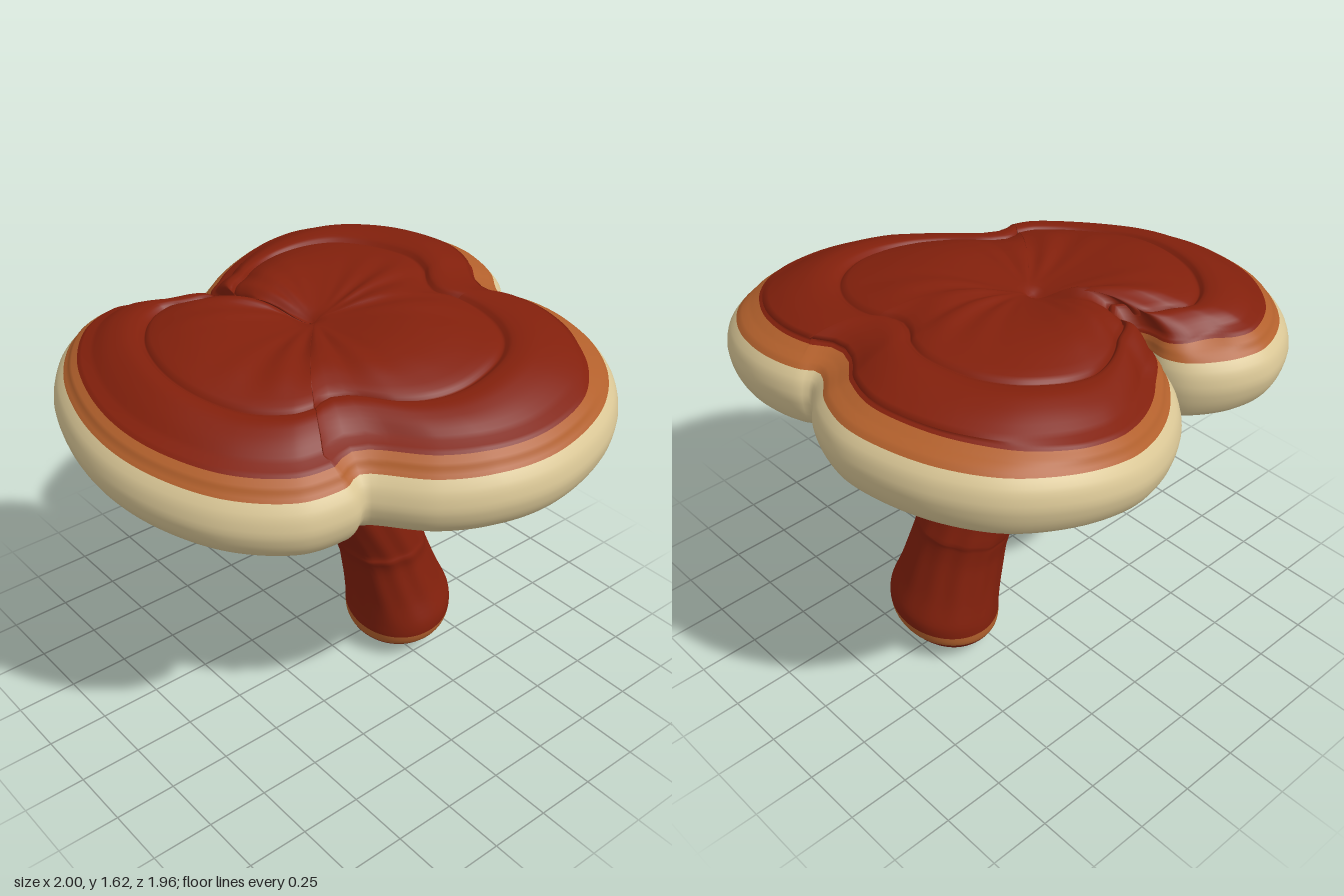
import * as THREE from 'three';

const paint = (name, color) => {
  const m = new THREE.MeshStandardMaterial({ color });
  m.name = name;
  return m;
};

// Skins rings of points; bands = [[rowCount, materialIndex], ...]
function skin(rings, bands) {
  const n = rings[0].length, pos = [], idx = [];
  rings.forEach(r => r.forEach(p => pos.push(p.x, p.y, p.z)));
  for (let r = 0; r < rings.length - 1; r++) {
    for (let i = 0; i < n; i++) {
      const j = (i + 1) % n, a = r * n + i, b = r * n + j, c = a + n, d = b + n;
      idx.push(a, b, c, b, d, c);
    }
  }
  const g = new THREE.BufferGeometry();
  g.setAttribute('position', new THREE.Float32BufferAttribute(pos, 3));
  g.setIndex(idx);
  let start = 0;
  for (const [rows, mat] of bands) {
    g.addGroup(start, rows * n * 6, mat);
    start += rows * n * 6;
  }
  g.computeVertexNormals();
  return g;
}

// Smoothly subdivides a list of [a, b, c] control rows
function refine(rows, sub) {
  const curve = new THREE.CatmullRomCurve3(rows.map(r => new THREE.Vector3(...r)), false, 'catmullrom', 0.4);
  const n = (rows.length - 1) * sub;
  return Array.from({ length: n + 1 }, (_, i) => curve.getPoint(i / n));
}

const smooth = (a, b, v) => THREE.MathUtils.smoothstep(v, a, b);

// Lobed outline of the cap, (x, z), starting at the deep back notch
const OUTLINE = [
  [-0.16, -0.49], [-0.145, -0.53], [-0.16, -0.62], [-0.135, -0.715], [-0.065, -0.81], [0.05, -0.895],
  [0.2, -0.96], [0.35, -0.985], [0.55, -0.95], [0.765, -0.825], [0.91, -0.63], [0.985, -0.4],
  [0.995, -0.22], [0.94, -0.04], [0.87, 0.06], [0.85, 0.1], [0.875, 0.13], [0.905, 0.22],
  [0.915, 0.38], [0.87, 0.58], [0.75, 0.77], [0.55, 0.91], [0.25, 0.975], [0, 0.93],
  [-0.2, 0.81], [-0.34, 0.655], [-0.37, 0.625], [-0.41, 0.645], [-0.47, 0.645], [-0.62, 0.6],
  [-0.82, 0.42], [-0.95, 0.17], [-0.998, -0.07], [-0.975, -0.32], [-0.88, -0.57], [-0.7, -0.78],
  [-0.5, -0.865], [-0.37, -0.845], [-0.265, -0.785], [-0.19, -0.7], [-0.165, -0.61], [-0.175, -0.53],
];

// Cap section from top centre over the rim to bottom centre: [inset, scale, height]
const SECTION = [
  [0.15, 0, 0.225], [0.15, 0.1, 0.235], [0.15, 0.25, 0.255], [0.15, 0.4, 0.268], [0.15, 0.55, 0.262],
  [0.15, 0.7, 0.232], [0.15, 0.73, 0.21], [0.15, 0.76, 0.23], [0.15, 0.83, 0.232], [0.15, 0.92, 0.208],
  [0.15, 1, 0.172], [0.118, 1, 0.153], [0.08, 1, 0.13], [0.046, 1, 0.1], [0.015, 1, 0.06],
  [0, 1, 0], [0.015, 1, -0.06], [0.05, 1, -0.11], [0.1, 1, -0.136], [0.15, 1, -0.145],
  [0.15, 0.9, -0.15], [0.15, 0.7, -0.14], [0.15, 0.5, -0.12], [0.15, 0.38, -0.105],
  [0.15, 0.2, -0.09], [0.15, 0, -0.09],
];

// Height of the rim's middle: a gentle tilt with each lobe drooping differently
const level = (x, z) => 1.32 + 0.065 * x - 0.05 * z - 0.04 * z * z + 0.08 * Math.min(x, 0) * z
  - 0.03 * Math.exp(-((x - 0.1) ** 2 + (z + 0.9) ** 2) / 0.12);

function capGeometry() {
  const N = 340, SUB = 3, cx = -0.16, cz = -0.1;
  const curve = new THREE.CatmullRomCurve3(OUTLINE.map(([x, z]) => new THREE.Vector3(x, 0, z)), true);
  const edge = curve.getSpacedPoints(N).slice(0, N);
  // inward normals, with a thinner rim around the deep notch
  const inward = edge.map((p, i) => {
    const t = edge[(i + 2) % N].clone().sub(edge[(i + N - 2) % N]).normalize();
    const k = 0.2 + 0.8 * smooth(0, 0.35, Math.hypot(p.x + 0.16, p.z + 0.5));
    return new THREE.Vector3(-t.z, 0, t.x).multiplyScalar(k);
  });
  const crease = new THREE.Line3(new THREE.Vector3(-0.15, 0, -0.5), new THREE.Vector3(-0.02, 0, -0.12));
  const near = new THREE.Vector3();
  const rings = refine(SECTION, SUB).map(({ x: inset, y: s, z: h }, row) => edge.map((p, i) => {
    // the orange band is wider, and the pale lip beneath narrower, on the left side
    const out = -inward[i].x;
    let width = 1;
    if (row > 10 * SUB && row <= 12 * SUB) width = 0.86 + 0.34 * smooth(0.2, 1, out);
    if (row > 15 * SUB && row <= 19 * SUB) width = 0.85 - 0.25 * smooth(0, 0.8, out);
    const q = p.clone().addScaledVector(inward[i], inset * width);
    const x = cx + (q.x - cx) * s + 0.16 * (1 - s) ** 2;
    const z = cz + (q.z - cz) * s;
    let y = level(x, z) + h;
    const a = Math.atan2(z + 0.1, x);
    const lump = 0.006 * Math.sin(7 * x + 3 * z) * Math.sin(6 * z - 2 * x + 1);
    if (row <= 10 * SUB) {
      // radial wrinkles, lumps and the crease leading in from the notch
      const w = smooth(0.1, 0.3, s) * (1 - smooth(0.5, 0.7, s));
      y += w * 0.006 * Math.sin(17 * a + 5 * s) * (0.5 + 0.5 * Math.sin(3 * a + 1));
      y += lump * 1.6 * (1 - smooth(0.8, 1, s));
      crease.closestPointToPoint(new THREE.Vector3(x, 0, z), true, near);
      y -= 0.03 * Math.exp(-(((x - near.x) ** 2 + (z - near.z) ** 2) / 0.0012));
    } else if (row > 19 * SUB) {
      // fine folds beneath, and a fuller belly under the left side
      y += 0.003 * Math.sin(34 * a) * smooth(0.2, 0.4, s) * (1 - smooth(0.6, 0.95, s)) + lump * (1 - smooth(0.85, 1, s));
      y -= 0.03 * smooth(0.3, 0.7, x) * (1 - smooth(0.88, 1, s));
    }
    return new THREE.Vector3(x, y, z);
  }));
  return skin(rings, [[11 * SUB, 0], [2 * SUB, 1], [6 * SUB, 2], [4 * SUB, 1], [2 * SUB, 0]]);
}

// Stem stations from top to bottom: [height, centre x, centre z, radius]
const STEM = [
  [1.29, 0.005, -0.1, 0.31], [1.15, 0.02, -0.083, 0.256], [1, 0.05, -0.065, 0.24],
  [0.75, 0.15, -0.015, 0.21], [0.57, 0.23, 0.01, 0.197], [0.53, 0.24, 0.013, 0.196],
  [0.45, 0.265, 0.02, 0.195], [0.3, 0.305, 0.032, 0.213], [0.2, 0.33, 0.043, 0.232],
  [0.145, 0.332, 0.045, 0.234], [0.1, 0.33, 0.04, 0.225], [0.05, 0.322, 0.03, 0.18],
  [0.015, 0.315, 0.015, 0.1], [0.002, 0.315, 0.01, 0],
];

function stemGeometry() {
  const N = 72, SUB = 4;
  const axis = refine(STEM.map(([y, x, z]) => [x, y, z]), SUB);
  const radii = refine(STEM.map(s => [s[3], 0, 0]), SUB);
  const rings = axis.map((c, k) => Array.from({ length: N }, (_, i) => {
    const a = i / N * Math.PI * 2;
    const up = smooth(0.15, 0.4, c.y);
    const fibre = 0.02 * Math.sin(5 * a + 2 * c.y) + 0.012 * Math.sin(13 * a - 3 * c.y);
    const knuckle = 0.03 * Math.exp(-(((c.y - 0.55 + 0.03 * Math.sin(a)) / 0.02) ** 2));
    // root of the cap spreading towards the back notch
    const root = 0.45 * smooth(1.08, 1.22, c.y) * Math.max(0, Math.cos(a + 1.95)) ** 4;
    const r = Math.max(0, radii[k].x) * (1 + up * fibre + knuckle + root);
    const dx = r * Math.cos(a);
    // oval section, longest along one diagonal
    const dz = 1.13 * r * Math.sin(a) - 0.2 * dx;
    return new THREE.Vector3(c.x + dx, c.y + 0.1 * dx * smooth(0, 0.1, c.y), c.z + dz);
  }));
  return skin(rings, [[9 * SUB, 0], [SUB, 1], [3 * SUB, 0]]);
}

export function createModel() {
  const red = paint('russet red', 0x82200c);
  const orange = paint('burnt orange', 0xb2602c);
  const cream = paint('cream', 0xdac796);
  const group = new THREE.Group();
  group.name = 'mushroom';

  const cap = new THREE.Mesh(capGeometry(), [red, orange, cream]);
  cap.name = 'cap';
  const stem = new THREE.Mesh(stemGeometry(), [red, orange]);
  stem.name = 'stem';
  group.add(cap, stem);
  return group;
}
